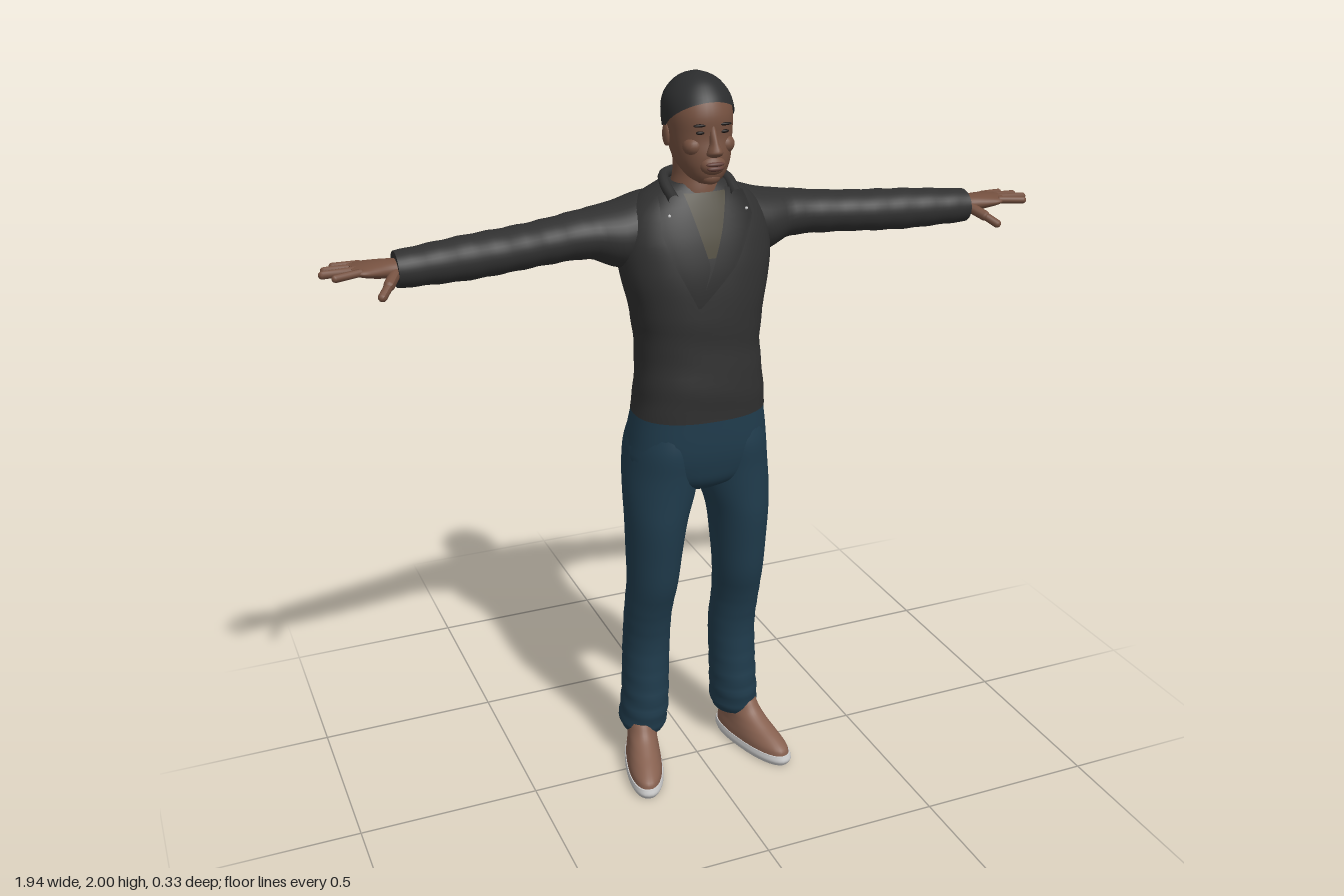
import * as THREE from 'three';

const mat = (name, color, side = THREE.FrontSide) => {
  const m = new THREE.MeshStandardMaterial({ color, side });
  m.name = name;
  return m;
};

// Smooth interpolation of a ring table: [s, uMin, uMax, vMin, vMax, exponent]
function section(rings, s) {
  const n = rings.length;
  let i = 0;
  while (i < n - 2 && s > rings[i + 1][0]) i++;
  const a = rings[i], b = rings[i + 1], d = b[0] - a[0], t = (s - a[0]) / d;
  const slope = (k, c) => {
    const p = rings[Math.max(k - 1, 0)], q = rings[Math.min(k + 1, n - 1)];
    return (q[c] - p[c]) / (q[0] - p[0]);
  };
  const v = [1, 2, 3, 4].map(c => (2 * t ** 3 - 3 * t * t + 1) * a[c] + (3 * t * t - 2 * t ** 3) * b[c]
    + d * ((t ** 3 - 2 * t * t + t) * slope(i, c) + (t ** 3 - t * t) * slope(i + 1, c)));
  const e = (a[5] ?? 2) * (1 - t) + (b[5] ?? 2) * t;
  return { cu: (v[0] + v[1]) / 2, cv: (v[2] + v[3]) / 2, hu: (v[1] - v[0]) / 2, hv: (v[3] - v[2]) / 2, e };
}

function pointOn(rings, s, th, scale = 1) {
  const q = section(rings, s), c = Math.cos(th), d = Math.sin(th);
  const pw = x => Math.sign(x) * Math.abs(x) ** (2 / q.e);
  return [q.cu + q.hu * pw(c) * scale, q.cv + q.hv * pw(d) * scale];
}

function build(pos, idx) {
  const g = new THREE.BufferGeometry();
  g.setAttribute('position', new THREE.Float32BufferAttribute(pos, 3));
  g.setIndex(idx);
  g.computeVertexNormals();
  return g;
}

// Capped skin over the rings, along 'y' (u = x, v = z) or 'x' (u = y, v = z)
function loft(rings, axis = 'y', fold = () => 0, n = 36, sub = 5) {
  const pos = [], idx = [], flip = axis === 'y';
  const put = (s, [u, v]) => flip ? pos.push(u, s, v) : pos.push(s, u, v);
  const tri = (a, b, c) => flip ? idx.push(a, c, b) : idx.push(a, b, c);
  const levels = [];
  for (let i = 0; i < rings.length - 1; i++)
    for (let k = 0; k < sub; k++) levels.push(rings[i][0] + (rings[i + 1][0] - rings[i][0]) * k / sub);
  levels.push(rings.at(-1)[0]);
  const ring = s => {
    for (let j = 0; j < n; j++) {
      const th = j / n * Math.PI * 2;
      put(s, pointOn(rings, s, th, 1 + fold(s, th)));
    }
  };
  levels.forEach(ring);
  for (let i = 0; i < levels.length - 1; i++)
    for (let j = 0; j < n; j++) {
      const a = i * n + j, b = i * n + (j + 1) % n;
      tri(a, b, a + n); tri(b, b + n, a + n);
    }
  [levels[0], levels.at(-1)].forEach((s, end) => {
    const base = pos.length / 3, q = section(rings, s);
    ring(s);
    put(s, [q.cu, q.cv]);
    for (let j = 0; j < n; j++) {
      const k = base + (j + 1) % n;
      end ? tri(base + n, base + j, k) : tri(base + n, k, base + j);
    }
  });
  return build(pos, idx);
}

// Thin panel between two edge polylines, laid over the front of a loft
function panel(rings, left, right, off) {
  const at = (pts, t) => {
    const f = Math.min(t * (pts.length - 1), pts.length - 1.0001), i = Math.floor(f), k = f - i;
    return [0, 1].map(c => pts[i][c] * (1 - k) + pts[i + 1][c] * k);
  };
  const pos = [], idx = [], R = 16, C = 8;
  for (let r = 0; r <= R; r++)
    for (let c = 0; c <= C; c++) {
      const a = at(left, r / R), b = at(right, r / R), x = a[0] + (b[0] - a[0]) * c / C, y = a[1] + (b[1] - a[1]) * c / C;
      const q = section(rings, y), w = Math.min(Math.abs((x - q.cu) / q.hu), 1);
      pos.push(x, y, q.cv + q.hv * (1 - w ** q.e) ** (1 / q.e) + off);
      if (r < R && c < C) {
        const k = r * (C + 1) + c;
        idx.push(k, k + C + 1, k + 1, k + 1, k + C + 1, k + C + 2);
      }
    }
  return build(pos, idx);
}

function mirrored(geo) {
  const g = geo.clone().scale(-1, 1, 1), a = g.index.array;
  for (let i = 0; i < a.length; i += 3) [a[i], a[i + 1]] = [a[i + 1], a[i]];
  g.computeVertexNormals();
  return g;
}

const blob = (x, y, z, rx, ry, rz) => new THREE.SphereGeometry(1, 20, 12).scale(rx, ry, rz).translate(x, y, z);

function finger(a, b, r) {
  const p = new THREE.Vector3(...a), q = new THREE.Vector3(...b), d = q.clone().sub(p);
  const g = new THREE.CapsuleGeometry(r, d.length(), 5, 10);
  g.applyQuaternion(new THREE.Quaternion().setFromUnitVectors(new THREE.Vector3(0, 1, 0), d.clone().normalize()));
  return g.translate(...p.add(q).multiplyScalar(0.5).toArray());
}

export function createModel() {
  const model = new THREE.Group();
  const skin = mat('skin', 0x74503f), lip = mat('lips', 0x613e36), hairM = mat('hair', 0x2b2c2d, THREE.DoubleSide);
  const jacket = mat('jacket', 0x303030), lapelM = mat('lapel', 0x292929, THREE.DoubleSide);
  const shirt = mat('shirt', 0x454030, THREE.DoubleSide), jeans = mat('jeans', 0x203c4d);
  const shoe = mat('shoe leather', 0x86604f), sole = mat('sole', 0xcccccc), dark = mat('eye', 0x1d1715);
  const add = (name, geo, m) => {
    const mesh = new THREE.Mesh(geo, m);
    mesh.name = name;
    model.add(mesh);
  };
  const pair = (name, geo, m) => { add('left' + name, geo, m); add('right' + name, mirrored(geo), m); };
  const sym = rows => rows.map(([s, h, a, b, e]) => [s, -h, h, a, b, e]);

  // Jacket body, sleeves and collar
  const torso = sym([[1.115, .182, -.135, .138, 2.4], [1.2, .172, -.127, .142, 2.4], [1.3, .166, -.14, .133, 2.4],
    [1.4, .178, -.15, .132, 2.4], [1.5, .2, -.16, .12, 2.4], [1.58, .205, -.163, .1, 2.4], [1.64, .19, -.15, .078, 2.3],
    [1.69, .145, -.12, .055, 2.2], [1.725, .085, -.095, .035, 2]]);
  add('jacketBody', loft(torso, 'y', (s, t) => .006 * Math.sin(s * 70 + 2 * Math.sin(2 * t)) * (s < 1.4 ? 1 : .3)), jacket);
  const sleeve = [[.05, 1.53, 1.70, -.15, .01], [.13, 1.51, 1.695, -.162, .035], [.2, 1.505, 1.675, -.163, .035],
    [.28, 1.535, 1.662, -.145, .015], [.4, 1.538, 1.65, -.115, .022], [.5, 1.535, 1.645, -.095, .036],
    [.6, 1.532, 1.642, -.075, .045], [.7, 1.536, 1.636, -.055, .055], [.785, 1.54, 1.63, -.036, .06]];
  pair('Sleeve', loft(sleeve, 'x', (s, t) => s < .25 ? 0 : .02 * Math.sin(s * 85 + 2 * Math.sin(t))), jacket);
  const collar = [[-.085, 1.695, .055], [-.085, 1.725, -.01], [-.06, 1.735, -.065], [0, 1.738, -.085],
    [.06, 1.735, -.065], [.085, 1.725, -.01], [.085, 1.695, .055]].map(p => new THREE.Vector3(...p));
  add('collar', new THREE.TubeGeometry(new THREE.CatmullRomCurve3(collar), 36, .014, 10), jacket);

  // Shirt opening and overlapping lapels
  add('shirtFront', panel(torso, [[-.065, 1.705], [-.045, 1.63], [-.02, 1.55]], [[.065, 1.705], [.04, 1.63], [.005, 1.55]], .004), shirt);
  add('rightLapel', panel(torso, [[-.115, 1.698], [-.128, 1.62], [-.1, 1.53], [-.052, 1.43]],
    [[-.058, 1.714], [-.035, 1.62], [-.012, 1.53], [-.046, 1.43]], .008), lapelM);
  add('leftLapel', panel(torso, [[.058, 1.714], [.03, 1.62], [-.005, 1.53], [-.054, 1.43]],
    [[.115, 1.698], [.125, 1.64], [.06, 1.53], [-.046, 1.43]], .011), lapelM);
  pair('LapelStud', blob(.105, 1.66, .074, .004, .004, .004), sole);

  // Jeans: hips and two legs
  add('hips', loft(sym([[.89, .07, -.07, .06], [.92, .15, -.115, .1, 2.2], [.97, .195, -.14, .118, 2.3],
    [1.03, .193, -.148, .128, 2.4], [1.13, .177, -.13, .132, 2.4]])), jeans);
  const leg = [[.1, .085, .205, -.14, 0], [.13, .077, .213, -.147, .014], [.2, .073, .207, -.142, .02], [.3, .07, .203, -.14, .016],
    [.4, .067, .2, -.135, .018], [.5, .068, .201, -.115, .04], [.6, .06, .2, -.1, .073], [.7, .05, .203, -.104, .09],
    [.8, .036, .206, -.11, .104], [.88, .012, .207, -.128, .108], [.95, 0, .203, -.15, .112], [1.02, 0, .195, -.153, .118],
    [1.08, .01, .18, -.13, .11]];
  pair('Leg', loft(leg, 'y', (s, t) => (s < .3 ? .025 : s < .55 ? .008 : 0) * Math.sin(s * 110 + 2 * Math.sin(t))), jeans);

  // Shoes, toes turned out
  const place = g => g.rotateY(.27).translate(.17, 0, 0);
  pair('ShoeSole', place(loft(sym([[0, .049, -.138, .166, 2.3], [.014, .054, -.143, .174, 2.3], [.03, .052, -.14, .17, 2.3]]))), sole);
  pair('ShoeUpper', place(loft(sym([[.026, .05, -.136, .166, 2.3], [.045, .049, -.134, .158, 2.2], [.065, .046, -.13, .125],
    [.085, .043, -.127, .08], [.11, .042, -.124, .035], [.14, .04, -.12, .01]]))), shoe);

  // Hands
  pair('Palm', loft([[.76, 1.565, 1.612, -.014, .045], [.8, 1.568, 1.614, -.02, .05], [.84, 1.574, 1.614, -.03, .062],
    [.87, 1.582, 1.612, -.032, .068], [.893, 1.59, 1.608, -.024, .058]], 'x'), skin);
  [[.865, -.022, .925, -.03, .0085], [.875, .004, .95, .001, .0095], [.88, .03, .96, .035, .01], [.875, .055, .937, .074, .0095]]
    .forEach(([x, z, x2, z2, r], i) => pair('Finger' + (i + 1), finger([x, 1.6, z], [x2, 1.598, z2], r), skin));
  pair('ThumbBase', finger([.79, 1.585, .04], [.815, 1.568, .078], .014), skin);
  pair('ThumbTip', finger([.815, 1.568, .078], [.838, 1.55, .106], .011), skin);

  // Neck and head
  add('neck', loft(sym([[1.66, .075, -.09, .055], [1.71, .064, -.082, .05], [1.75, .056, -.074, .042], [1.82, .058, -.075, .045]])), skin);
  const head = sym([[1.735, .022, .035, .088], [1.75, .045, .005, .103], [1.78, .064, -.045, .11, 2.2], [1.81, .073, -.07, .111, 2.2],
    [1.85, .079, -.087, .104, 2.3], [1.9, .083, -.099, .105, 2.2], [1.94, .078, -.094, .091], [1.97, .058, -.072, .066],
    [1.986, .036, -.048, .042], [1.994, .012, -.02, .016], [1.996, .002, -.008, .004]]);
  add('head', loft(head), skin);
  add('nose', loft(sym([[1.807, .012, .09, .121], [1.812, .02, .09, .131], [1.822, .019, .09, .138], [1.84, .011, .09, .127],
    [1.87, .009, .085, .11], [1.885, .006, .085, .104]]), 'y', undefined, 16), skin);
  add('mouthMound', blob(0, 1.785, .1, .034, .025, .022), skin);
  add('upperLip', blob(0, 1.79, .118, .025, .006, .008), lip);
  add('lowerLip', blob(0, 1.779, .117, .022, .007, .009), lip);
  add('chin', blob(0, 1.752, .088, .026, .018, .018), skin);
  pair('Eye', blob(.032, 1.866, .098, .012, .0045, .006), dark);
  pair('Brow', blob(.033, 1.884, .099, .018, .004, .006).rotateZ(0), dark);
  pair('Cheek', blob(.042, 1.83, .074, .026, .024, .027), skin);
  pair('Ear', blob(.08, 1.848, -.006, .009, .03, .018).rotateZ(0), skin);

  // Close-cropped hair following the skull above the hairline
  const pos = [], idx = [], N = 48, R = 14;
  for (let r = 0; r <= R; r++)
    for (let j = 0; j < N; j++) {
      const th = j / N * Math.PI * 2, f = Math.sin(th);
      const low = f > 0 ? 1.872 + .066 * f ** .8 : 1.872 + .022 * f;
      const y = low + (1.996 - low) * Math.sin(r / R * Math.PI / 2);
      const [x, z] = pointOn(head, y, th, 1.055);
      pos.push(x, y + .004 * r / R, z);
      if (r < R) {
        const a = r * N + j, b = r * N + (j + 1) % N;
        idx.push(a, a + N, b, b, a + N, b + N);
      }
    }
  add('hair', build(pos, idx), hairM);
  return model;
}
